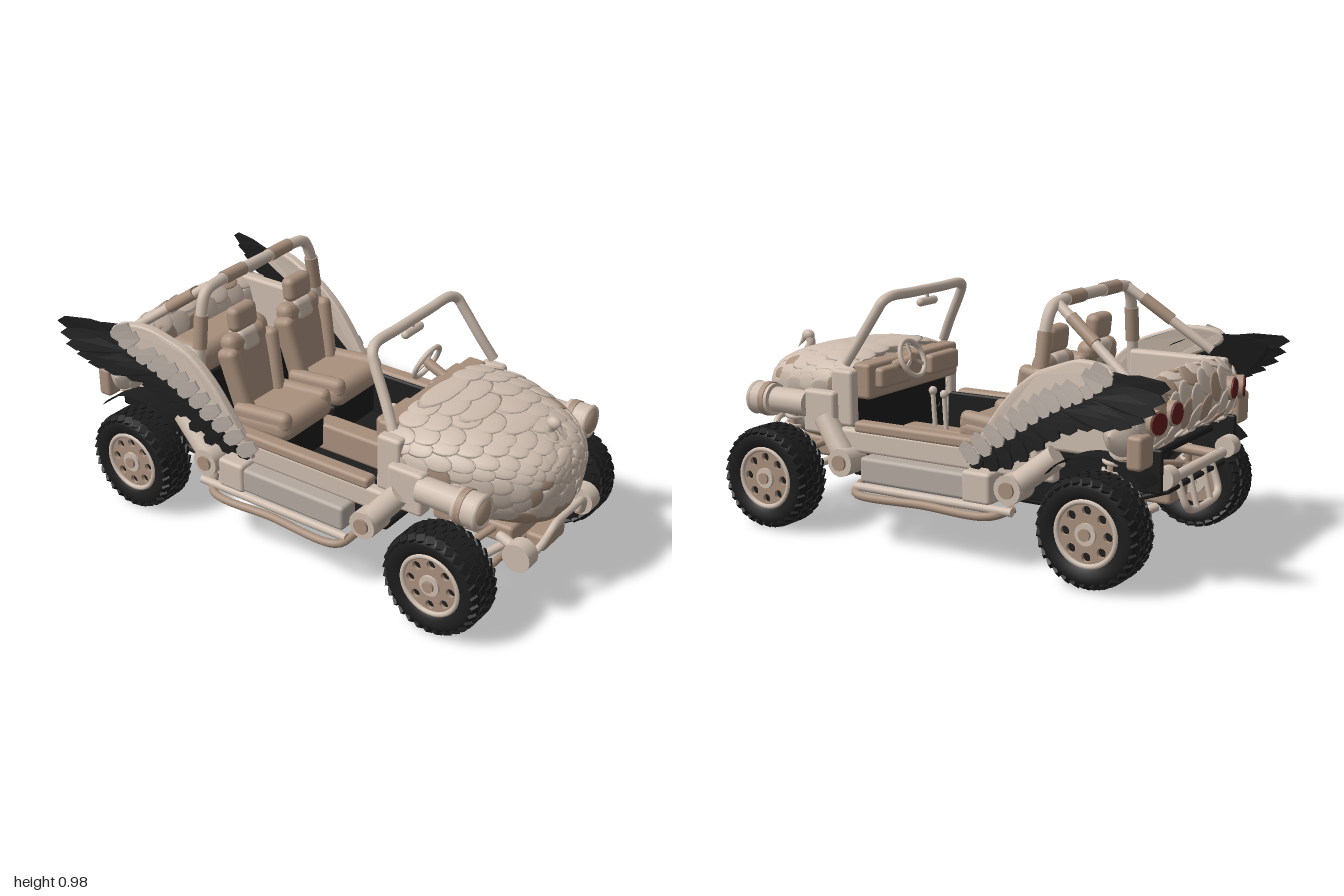
import * as THREE from 'three';
import { mergeGeometries } from 'three/addons/utils/BufferGeometryUtils.js';
import { RoundedBoxGeometry } from 'three/addons/geometries/RoundedBoxGeometry.js';

const V = (x, y, z) => new THREE.Vector3(x, y, z);
const paint = (name, color, side = THREE.FrontSide) => Object.assign(new THREE.MeshStandardMaterial({ color, side }), { name });

// Surface from a rule fn(u, v)
const surface = (fn, nu, nv) => {
  const pos = [], idx = [];
  for (let i = 0; i <= nu; i++) for (let j = 0; j <= nv; j++) pos.push(...fn(i / nu, j / nv).toArray());
  for (let i = 0; i < nu; i++) for (let j = 0; j < nv; j++) {
    const a = i * (nv + 1) + j, b = a + nv + 1;
    idx.push(a, b, b + 1, a, b + 1, a + 1);
  }
  const g = new THREE.BufferGeometry().setIndex(idx);
  g.setAttribute('position', new THREE.Float32BufferAttribute(pos, 3));
  g.computeVertexNormals();
  return g;
};

// Rows of overlapping feathers on a surface; cols(u) gives the number in a row, keep(i, j) picks some
const feathers = (fn, rows, cols, u0, u1, keep = () => true) => {
  const list = [], du = (u1 - u0) / rows;
  for (let i = 0; i < rows; i++) {
    const u = u0 + du * (i + 0.5), n = cols(u);
    for (let j = 0; j < n; j++) if (keep(i, j)) {
      const v = (j + 0.3 + 0.4 * (i % 2) + 0.15 * Math.sin(i * 5 + j * 9)) / n;
      const p = fn(u, v), U = fn(u + 0.02, v).sub(p), W = fn(u, v + 0.02).sub(p);
      const len = Math.min(0.06, U.length() * 50 * du * 0.85), wid = W.length() * 50 / n * 0.68;
      const N = U.clone().cross(W).normalize(), y = U.normalize().addScaledVector(N, 0.1).normalize();
      N.addScaledVector(y, -N.dot(y)).normalize();
      const m = new THREE.Matrix4().makeBasis(y.clone().cross(N).multiplyScalar(wid), y.multiplyScalar(len), N.multiplyScalar(0.009));
      list.push(new THREE.SphereGeometry(1, 10, 7).applyMatrix4(m.setPosition(p)));
    }
  }
  return mergeGeometries(list);
};

export function createModel() {
  const cream = paint('cream', 0xcdbcae), tan = paint('tan', 0xa88f7c), grey = paint('pale grey', 0xb3a9a0);
  const black = paint('black', 0x1d1d1e, THREE.DoubleSide), red = paint('lamp red', 0x641f1e);
  const car = new THREE.Group();
  car.name = 'buggy';

  const add = (name, geo, mat, p = [0, 0, 0], r = [0, 0, 0], parent = car) => {
    const m = new THREE.Mesh(geo, mat);
    m.name = name;
    m.position.set(...p);
    m.rotation.set(...r);
    parent.add(m);
    return m;
  };
  const box = (name, size, p, mat, r, round = 0.015) =>
    add(name, new RoundedBoxGeometry(...size, 2, Math.min(round, Math.min(...size) / 2.1)), mat, p, r);
  const tube = (name, pts, radius, mat) =>
    add(name, new THREE.TubeGeometry(new THREE.CatmullRomCurve3(pts.map(p => V(...p))), pts.length * 8, radius, 10), mat);
  const bar = (name, a, b, radius, mat) => {
    const A = V(...a), B = V(...b);
    const m = add(name, new THREE.CylinderGeometry(radius, radius, A.distanceTo(B), 18), mat);
    m.position.copy(A).lerp(B, 0.5);
    m.quaternion.setFromUnitVectors(V(0, 1, 0), B.sub(A).normalize());
  };
  const both = fn => [1, -1].forEach(fn);
  const flip = ([x, y, z]) => [-x, y, z];
  const pair = (name, a, b, radius, mat) => both(s => bar(name, s > 0 ? a : flip(a), s > 0 ? b : flip(b), radius, mat));
  const arch = (name, half, radius, mat) => tube(name, [...half, ...half.map(flip).reverse()], radius, mat);

  // Egg-shaped bonnet: stations of z, half width, top, bottom
  const stations = [[.43, .35, .69, .29], [.58, .35, .69, .27], [.72, .315, .672, .27], [.84, .26, .645, .28],
    [.93, .19, .607, .31], [.972, .125, .57, .35], [.988, .06, .53, .4], [.99, .002, .475, .46]];
  const zw = new THREE.CatmullRomCurve3(stations.map(s => V(s[0], s[1], 0)));
  const tb = new THREE.CatmullRomCurve3(stations.map(s => V(s[2], s[3], 0)));
  const bonnet = (a0, a1) => (u, v) => {
    const a = a0 + (a1 - a0) * v, c = Math.cos(a), s = Math.sin(a);
    const { x: z, y: w } = zw.getPoint(Math.min(u, 1)), { x: top, y: bot } = tb.getPoint(Math.min(u, 1));
    const mid = bot + (top - bot) * 0.66, x = w * Math.sign(c) * Math.abs(c) ** 0.75 * (s < 0 ? 1 + 0.2 * s : 1);
    return V(x, mid + (s > 0 ? (top - mid) * s ** 0.8 : (mid - bot) * s), z);
  };
  const upper = bonnet(Math.PI + 0.75, -0.75), lower = bonnet(-0.75, 0.75 - Math.PI);
  add('bonnet', surface(upper, 32, 40), cream);
  add('bonnetUnderside', surface(lower, 32, 24), tan);
  const perRow = u => Math.round(15 - 9 * Math.max(0, u - .45) / .5), stain = (i, j) => (i * 7 + j * 5) % 6 === 0 && (j < 3 || j > 9);
  add('bonnetFeathers', feathers(upper, 12, perRow, 0, .93, (i, j) => !stain(i, j)), cream);
  add('bonnetTanFeathers', feathers(upper, 12, perRow, 0, .93, stain), tan);
  add('noseFeathers', mergeGeometries([-.06, 0, .06].map((x, i) =>
    new THREE.SphereGeometry(1, 12, 8).scale(.045, .06, .02).translate(x, .465 - .025 * (i % 2), .978 - Math.abs(x) * .15))), cream);
  box('firewall', [.62, .36, .03], [0, .47, .43], black);
  box('dashboard', [.62, .14, .08], [0, .59, .4], tan);
  both(s => box('dashPod', [.2, .08, .05], [s * .17, .6, .35], tan));

  // Bird-head ornament
  tube('ornamentNeck', [[0, .57, .86], [0, .615, .905], [0, .65, .885], [0, .68, .895]], .019, cream);
  add('ornamentHead', new THREE.SphereGeometry(.024, 14, 10), cream, [0, .683, .9]).scale.set(.9, 1, 1.2);
  add('ornamentBeak', new THREE.ConeGeometry(.015, .075, 10), cream, [0, .655, .933], [2.45, 0, 0]);

  // Tub, floor and sills
  box('floor', [.68, .03, 1.1], [0, .24, -.12], black);
  box('rearUnderPlate', [.5, .02, .24], [0, .285, -.76], black, [.35, 0, 0]);
  box('rearFloor', [.56, .03, .3], [0, .44, -.66], black);
  box('rearBulkhead', [.62, .3, .02], [0, .4, -.5], black);
  box('console', [.09, .12, .52], [0, .31, .14], tan);
  [.2, .28].forEach((z, i) => {
    bar('lever', [.02 - i * .04, .36, z], [.02 - i * .04, .5, z + .01], .01, cream);
    add('leverKnob', new THREE.SphereGeometry(.018, 10, 8), cream, [.02 - i * .04, .51, z + .01]);
  });
  both(s => [
    ['doorLiner', [.02, .2, .9], [.332, .34, -.03], black], ['bodySide', [.05, .09, .95], [.365, .375, -.02], cream],
    ['sillTop', [.06, .045, .8], [.362, .43, -.02], tan], ['sillBox', [.09, .1, .56], [.405, .285, .03], grey],
    ['sillEnd', [.1, .12, .12], [.41, .29, -.21], cream], ['cowl', [.05, .22, .1], [.345, .53, .45], cream],
    ['frontPanel', [.07, .17, .15], [.365, .47, .54], cream], ['rearSide', [.05, .26, .4], [.335, .57, -.63], cream],
    ['archInner', [.02, .16, .4], [.32, .41, -.68], black], ['rearCorner', [.1, .12, .06], [.42, .5, -.84], tan],
  ].forEach(([name, size, p, mat]) => box(name, size, s > 0 ? p : flip(p), mat)));
  [[.4, 'frontHinge'], [-.34, 'rearHinge']].forEach(([z, name]) => {
    pair(name, [.35, .3, z], [.455, .3, z], .055, cream);
    pair(name + 'Cap', [.45, .3, z], [.465, .3, z], .03, tan);
  });
  pair('frontStrut', [.41, .3, .4], [.38, .45, .52], .045, cream);
  pair('rearStrut', [.41, .3, -.34], [.38, .43, -.5], .045, cream);
  both(s => tube('stepRail', [[s * .4, .22, .34], [s * .475, .2, .31], [s * .48, .2, 0], [s * .475, .2, -.28], [s * .4, .22, -.34]], .016, tan));
  pair('stepBar', [.45, .22, .33], [.45, .22, -.36], .016, cream);

  // Headlamps
  pair('lampBody', [.38, .495, .6], [.38, .495, .79], .05, cream);
  pair('lampBowl', [.385, .495, .76], [.385, .495, .85], .064, cream);
  pair('lampBand', [.385, .495, .775], [.385, .495, .8], .068, tan);
  pair('lampArm', [.25, .5, .62], [.38, .5, .68], .03, tan);
  both(s => {
    add('lampRim', new THREE.TorusGeometry(.055, .012, 8, 28), cream, [s * .385, .495, .85]);
    add('lampLens', new THREE.SphereGeometry(.05, 20, 12), tan, [s * .385, .495, .85]).scale.z = .5;
  });

  // Windscreen frame, mirror and roll cage
  arch('windscreenFrame', [[-.34, .66, .45], [-.315, .75, .4], [-.29, .865, .335], [-.278, .9, .317], [-.245, .917, .306], [-.1, .918, .303]], .02, cream);
  add('mirror', new THREE.CapsuleGeometry(.017, .09, 4, 12), cream, [0, .872, .3], [0, 0, Math.PI / 2]);
  bar('mirrorStem', [0, .88, .3], [0, .91, .3], .007, cream);
  arch('rollHoop', [[-.385, .4, -.42], [-.37, .62, -.42], [-.338, .86, -.425], [-.3, .94, -.43], [-.22, .957, -.43], [-.1, .959, -.43]], .022, cream);
  pair('hoopPad', [.08, .959, -.43], [.2, .959, -.43], .026, tan);
  pair('hoopLegPad', [.358, .73, -.422], [.338, .86, -.425], .027, tan);
  pair('rearStay', [.27, .95, -.44], [.35, .72, -.76], .018, cream);
  pair('stayPad', [.286, .91, -.5], [.312, .83, -.61], .023, tan);

  // Seats
  both(s => {
    const x = s * .17;
    box('seatBase', [.28, .14, .24], [x, .34, -.2], black);
    box('seatCushion', [.31, .1, .28], [x, .45, -.18], tan, [-.1, 0, 0], .045);
    box('seatBack', [.2, .32, .07], [x, .59, -.335], tan, [-.22, 0, 0], .03);
    box('seatTop', [.22, .08, .08], [x, .72, -.365], tan, [-.2, 0, 0], .035);
    box('seatTopPanel', [.12, .1, .084], [x, .715, -.364], cream, [-.2, 0, 0], .03);
    both(k => {
      box('seatBolster', [.055, .29, .09], [x + k * .105, .58, -.315], tan, [-.22, 0, -k * .12], .026);
      box('cushionBolster', [.06, .08, .27], [x + k * .12, .48, -.18], tan, [-.1, 0, 0], .03);
    });
    box('headrest', [.135, .1, .06], [x, .808, -.37], tan, [-.1, 0, 0], .025);
  });
  box('rearCushion', [.44, .13, .2], [0, .56, -.64], tan, [0, 0, 0], .05);

  // Steering wheel
  const steering = new THREE.Group();
  steering.name = 'steeringWheel';
  steering.position.set(.15, .67, .27);
  steering.rotation.x = 0.42;
  car.add(steering);
  add('steeringRim', new THREE.TorusGeometry(.072, .01, 8, 32), cream, [0, 0, 0], [0, 0, 0], steering);
  add('steeringHub', new THREE.CylinderGeometry(.02, .02, .1, 14), tan, [0, 0, .04], [Math.PI / 2, 0, 0], steering);
  [0, 2.1, 4.2].forEach(a => add('steeringSpoke', new THREE.BoxGeometry(.012, .07, .008), cream,
    [-Math.sin(a) * .035, Math.cos(a) * .035, 0], [0, 0, a], steering));

  // Rear body roll with feathers, round lamps and wheel arches
  const rear = (u, v) => {
    const t = Math.max(-1, Math.min(1, u * 2 - 1)), a = -Math.PI * 1.5 + v * Math.PI * 2, k = Math.sqrt(1.001 - t ** 8);
    return V(.485 * t, .6 - .05 * t * t + Math.sin(a) * .11 * k, -.805 + .05 * t ** 4 + Math.cos(a) * .073 * k);
  };
  const rearStain = (i, j) => (i * 3 + j * 5) % 7 < 2;
  add('rearBody', surface(rear, 40, 28), cream);
  add('rearFeathers', feathers(rear, 10, () => 8, .06, .94, (i, j) => !rearStain(i, j)), cream);
  add('rearTanFeathers', feathers(rear, 10, () => 8, .06, .94, rearStain), tan);
  both(s => {
    [[.25, .605, -.875], [.365, .59, -.865]].forEach(([x, y, z], i) => {
      const r = [Math.PI / 2, 0, s * (.1 + i * .2)];
      add('tailLampRing', new THREE.CylinderGeometry(.045, .045, .04, 24), tan, [s * x, y, z], r);
      add('tailLamp', new THREE.CylinderGeometry(.038, .038, .05, 24), red, [s * x, y, z], r);
    });
    add('wheelArch', new THREE.CylinderGeometry(.25, .25, .13, 24, 1, true, Math.PI * .22, Math.PI * .56), black, [s * .39, .22, -.683], [0, 0, Math.PI / 2]);
  });

  // Wings: flat feather shapes bent outwards towards the tips
  const bend = (geo, s, off) => {
    const p = geo.attributes.position;
    for (let i = 0; i < p.count; i++) {
      const a = p.getX(i), b = p.getY(i), t = Math.max(0, (a - .15) / .85);
      p.setXYZ(i, s * (.39 + .14 * t * t + .32 * Math.max(0, .73 - b) * Math.max(0, a - .1) + off) + p.getZ(i), b, -a);
    }
    geo.computeVertexNormals();
    return geo;
  };
  const blade = ([ax, ay], [bx, by], w, s, off) => {
    const A = new THREE.Vector2(ax, ay), d = new THREE.Vector2(bx - ax, by - ay), n = new THREE.Vector2(-d.y, d.x).normalize();
    const at = (t, k) => A.clone().addScaledVector(d, t).addScaledVector(n, k * w);
    const shape = new THREE.Shape([at(0, -.6), at(.5, -1), at(.85, -.8), at(1, 0), at(.9, .7), at(.5, 1), at(0, .6)]);
    return bend(new THREE.ExtrudeGeometry(shape, { depth: .01, bevelEnabled: false }), s, off);
  };
  const tips = [[1, .75], [.985, .705], [.955, .665], [.91, .63], [.86, .605], [.79, .59], [.71, .58], [.63, .555], [.56, .52],
    [.49, .47], [.42, .415], [.35, .375], [.28, .355], [.2, .35]];
  const roots = new THREE.CatmullRomCurve3([[.74, .74], [.65, .68], [.54, .63], [.43, .565], [.31, .48], [.18, .385]].map(p => V(...p, 0)));
  const web = [[.15, .355], [.3, .37], [.46, .47], [.62, .57], [.76, .605], [.86, .635], [.92, .7], [.9, .75], [.7, .765], [.5, .68], [.3, .5]];
  const covert = [[.15, .375], [.19, .44], [.31, .61], [.42, .71], [.52, .755], [.62, .784], [.73, .775], [.75, .74], [.65, .69], [.54, .645], [.43, .58], [.3, .485]];
  const spline = (pts, depth, bevel, s, off) => bend(new THREE.ExtrudeGeometry(
    new THREE.Shape(new THREE.SplineCurve([...pts, pts[0]].map(p => new THREE.Vector2(...p))).getPoints(60)),
    { depth, bevelEnabled: bevel > 0, bevelSize: bevel, bevelThickness: bevel, bevelSegments: 3 }), s, off);
  both(s => {
    add('wingWeb', spline(web, .012, 0, s, -.005), black);
    add('wingFeathers', mergeGeometries(tips.map((tip, i) => {
      const r = roots.getPoint(i / (tips.length - 1));
      return blade([r.x, r.y], tip, .03, s, .004 + .0025 * (i % 3));
    })), black);
    add('wingCovert', spline(covert, .02, .01, s, s > 0 ? -.012 : .008), cream);
    add('wingCovertFeathers', mergeGeometries([...Array(13)].map((_, i) => {
      const r = roots.getPoint(i / 12);
      return blade([r.x - .06, r.y + .045], [r.x + .022, r.y - .012], .03, s, (s > 0 ? .012 : .022) + .003 * (i % 2));
    })), grey);
  });

  // Wheels with tread blocks
  const tyre = new THREE.LatheGeometry([[.118, -.06], [.135, -.074], [.165, -.078], [.184, -.068], [.194, -.045], [.195, .045],
    [.184, .068], [.165, .078], [.135, .074], [.118, .06]].map(p => new THREE.Vector2(...p)), 48).rotateZ(-Math.PI / 2);
  const tread = mergeGeometries([-.064, -.033, 0, .033, .064].flatMap((x, k) => [...Array(30)].map((_, i) =>
    new THREE.BoxGeometry(.029, .012, .028).rotateZ(-Math.sign(x) * (k % 4 ? 0 : .5)).rotateY((k - 2) * .25)
      .translate(x, k % 4 ? .195 : .186, 0).rotateX((i + k % 2 / 2) * Math.PI / 15))));
  const disc = new THREE.Shape().absarc(0, 0, .118, 0, Math.PI * 2);
  for (let a = 0; a < 6; a += Math.PI / 4) disc.holes.push(new THREE.Path().absarc(Math.cos(a) * .083, Math.sin(a) * .083, .017, 0, Math.PI * 2, true));
  const rim = new THREE.ExtrudeGeometry(disc, { depth: .015, bevelEnabled: false, curveSegments: 24 }).rotateY(Math.PI / 2);
  const axle = (r, len) => new THREE.CylinderGeometry(r, r, len, 28).rotateZ(Math.PI / 2);
  both(s => [.726, -.683].forEach(z => {
    const wheel = new THREE.Group();
    wheel.name = z > 0 ? 'frontWheel' : 'rearWheel';
    wheel.position.set(s * .44, .207, z);
    wheel.rotation.y = s > 0 ? 0 : Math.PI;
    car.add(wheel);
    [['tyre', tyre, black, 0], ['tread', tread, black, 0], ['rimBarrel', axle(.117, .08), black, 0], ['rimDisc', rim, tan, .045],
      ['rimRing', new THREE.TorusGeometry(.115, .01, 8, 36).rotateY(Math.PI / 2), cream, .062], ['hub', axle(.04, .04), cream, .05],
      ['hubCap', axle(.022, .05), tan, .055], ['innerRim', axle(.1, .02), tan, -.04], ['innerHub', axle(.06, .03), cream, -.055],
    ].forEach(([name, geo, mat, x]) => add(name, geo, mat, [x, 0, 0], [0, 0, 0], wheel));

    // Suspension arms and coil spring
    both(k => bar('lowerArm', [s * .16, .235, z + k * .1], [s * .38, .19, z], .016, cream));
    both(k => bar('upperArm', [s * .18, .3, z + k * .06], [s * .38, .26, z], .014, tan));
    const low = V(s * .34, .24, z), high = V(s * .31, .5, z);
    tube('spring', [...Array(61)].map((_, i) => low.clone().lerp(high, .2 + .75 * i / 60)
      .add(V(Math.cos(i * Math.PI / 5) * .026, 0, Math.sin(i * Math.PI / 5) * .026)).toArray()), .008, cream);
    bar('damper', low.toArray(), high.toArray(), .015, tan);
  }));

  // Subframes, bumpers and exhaust
  box('frontSubframe', [.32, .08, .34], [0, .265, .68], tan);
  box('gearbox', [.16, .1, .2], [0, .27, -.7], tan);
  box('frontWinch', [.16, .065, .08], [0, .225, .9], tan);
  bar('frontCrossbar', [-.3, .215, .84], [.3, .215, .84], .014, tan);
  pair('frontCap', [.2, .265, .925], [.262, .265, .925], .056, cream);
  pair('frontCapArm', [.2, .25, .92], [.16, .26, .8], .02, cream);
  arch('frontBumper', [[-.18, .25, .9], [-.172, .25, .945], [-.15, .28, .965], [-.12, .33, .982], [-.095, .348, .985], [-.04, .35, .985]], .014, cream);
  bar('rearCrossbar', [-.3, .36, -.86], [.3, .36, -.86], .02, cream);
  pair('rearBumperEnd', [.24, .38, -.87], [.3, .38, -.87], .04, cream);
  arch('rearBumper', [[-.15, .36, -.85], [-.14, .25, -.89], [-.11, .23, -.895]], .014, cream);
  pair('rearBumperBar', [.06, .23, -.895], [.06, .36, -.86], .011, cream);
  pair('rearRail', [.2, .38, -.5], [.2, .36, -.86], .02, tan);
  return car;
}
